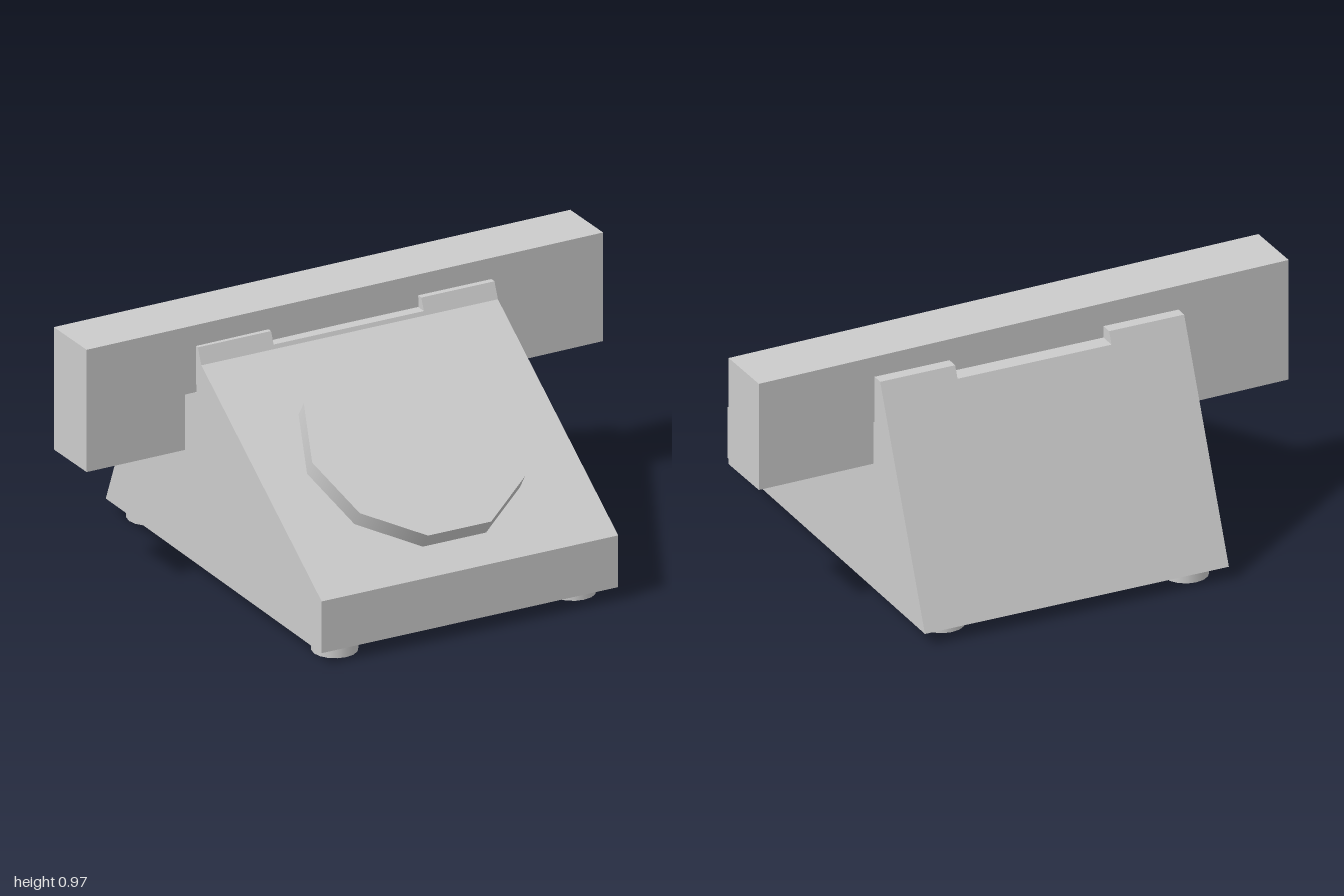
import * as THREE from 'three';

const material = new THREE.MeshStandardMaterial({ color: 0xcccccc });

function addMesh(parent, name, geometry) {
  const mesh = new THREE.Mesh(geometry, material);
  mesh.name = name;
  parent.add(mesh);
  return mesh;
}

function extrude(points, depth) {
  const shape = new THREE.Shape(points.map(([x, y]) => new THREE.Vector2(x, y)));
  return new THREE.ExtrudeGeometry(shape, { depth, bevelEnabled: false })
    .translate(0, 0, -depth / 2);
}

// Side profile (depth, height) of the body, with a cradle channel whose prongs end at height top
function bodyProfile(top) {
  const front = -0.07 - 0.025 * (top - 0.83) / 0.06;
  const back = -0.766 + 0.356 * (top - 0.05) / 0.84;
  return [
    [-0.766, 0.05], [0.806, 0.05], [0.806, 0.25], [-0.07, 0.83],
    [front, top], [-0.118, top], [-0.105, 0.71], [-0.365, 0.71], [-0.365, top], [back, top],
  ];
}

export function createModel() {
  const model = new THREE.Group();
  model.name = 'telephone';
  const phone = new THREE.Group();
  phone.name = 'turnedTelephone';
  phone.rotation.y = 0.726;
  model.add(phone);

  // Body: two tall cradle ends and a lower middle
  const body = new THREE.Group();
  body.name = 'body';
  phone.add(body);
  const sections = [
    ['rightCradle', -0.587, -0.29, 0.89],
    ['middleBody', -0.29, 0.32, 0.845],
    ['leftCradle', 0.32, 0.617, 0.89],
  ];
  for (const [name, from, to, top] of sections) {
    const geometry = extrude(bodyProfile(top), to - from).rotateY(-Math.PI / 2);
    addMesh(body, name, geometry).position.x = (from + to) / 2;
  }

  // Ten-sided dial lying on the sloped front
  const slope = Math.atan2(0.58, 0.876);
  const dial = addMesh(phone, 'dial',
    new THREE.CylinderGeometry(0.415, 0.415, 0.1, 10, 1, false, Math.PI / 2));
  dial.rotation.x = slope;
  dial.position.set(0.012, 0.588 - 0.05 * Math.cos(slope) + 0.008, 0.407 - 0.05 * Math.sin(slope));

  // Handset with a deeper piece at each end, resting slightly askew
  const handset = addMesh(phone, 'handset', extrude([
    [-1.058, 0.5], [-0.655, 0.498], [-0.655, 0.712], [0.6, 0.71],
    [0.6, 0.545], [1.058, 0.545], [1.058, 0.965], [-1.058, 0.973],
  ], 0.233));
  handset.position.set(0.021, 0, -0.235);
  handset.rotation.y = 0.016;

  // Feet, a little shorter on the left
  for (const [x, bottom] of [[-0.472, 0], [0.494, 0.017]]) {
    for (const z of [0.695, -0.652]) {
      const height = 0.06 - bottom;
      const foot = addMesh(phone, 'foot', new THREE.CylinderGeometry(0.084, 0.084, height, 16));
      foot.position.set(x, bottom + height / 2, z);
    }
  }
  return model;
}
